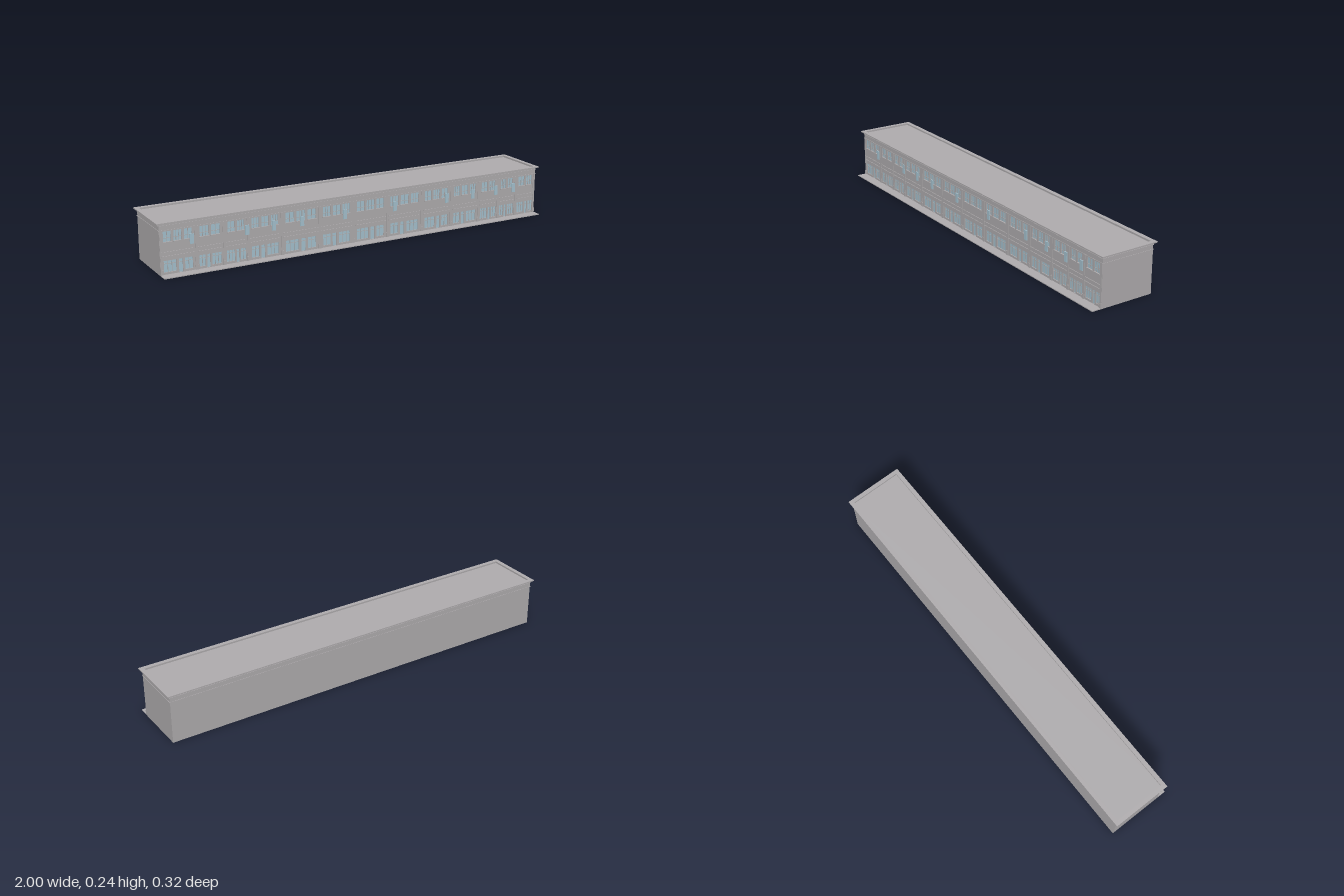
import * as THREE from 'three';

const stone = new THREE.MeshStandardMaterial({ color: 0xb0adaf });
stone.name = 'grey stone';
const glass = new THREE.MeshStandardMaterial({ color: 0xa6c3d0 });
glass.name = 'pale blue glass';

// Box given by its limits on each axis
function block(parent, name, x0, x1, y0, y1, z0, z1, mat = stone) {
  const m = new THREE.Mesh(new THREE.BoxGeometry(x1 - x0, y1 - y0, z1 - z0), mat);
  m.position.set((x0 + x1) / 2, (y0 + y1) / 2, (z0 + z1) / 2);
  m.name = name;
  parent.add(m);
  return m;
}

function rectangle(path, x0, x1, y0, y1) {
  path.moveTo(x0, y0);
  path.lineTo(x1, y0);
  path.lineTo(x1, y1);
  path.lineTo(x0, y1);
  path.closePath();
  return path;
}

const CORE = 0.110;   // front of the solid core
const WALL = 0.116;   // front of the facade skin

// Horizontal ring of stone around the roof
function parapetRing(parent, name, y0, y1, x, zBack, zFront, inX, inBack, inFront) {
  const s = rectangle(new THREE.Shape(), -x, x, -zFront, -zBack);
  s.holes.push(rectangle(new THREE.Path(), -inX, inX, -inFront, -inBack));
  const geo = new THREE.ExtrudeGeometry(s, { depth: y1 - y0, bevelEnabled: false });
  geo.rotateX(-Math.PI / 2);
  const m = new THREE.Mesh(geo, stone);
  m.position.y = y0;
  m.name = name;
  parent.add(m);
}

// One house front: skin with openings, panes, glazing bars and ledges
function houseFront(x0, x1, index) {
  const g = new THREE.Group();
  g.name = 'houseFront';
  const w = x1 - x0;
  const skin = rectangle(new THREE.Shape(), x0, x1, 0, 0.2);
  const opening = (name, a, b, y0, y1, bars, transom) => {
    skin.holes.push(rectangle(new THREE.Path(), a, b, y0, y1));
    block(g, name, a, b, y0, y1, CORE, CORE + 0.002, glass);
    for (let i = 1; i <= bars; i++) {
      const x = a + (b - a) * i / (bars + 1);
      block(g, 'glazingBar', x - 0.001, x + 0.001, y0, y1, CORE, CORE + 0.004);
    }
    block(g, 'transom', a, b, transom - 0.001, transom + 0.001, CORE, CORE + 0.004);
  };

  // Upper windows
  const count = w > 0.15 ? 3 : 2;
  const step = (w - 0.024) / count;
  for (let i = 0; i < count; i++) {
    const a = x0 + 0.012 + i * step + 0.006;
    const b = a + step - 0.012;
    opening('upperWindow', a, b, 0.150, 0.197, 1 + (i + index) % 2, 0.167);
    block(g, 'windowSill', a - 0.003, b + 0.003, 0.146, 0.150, WALL, 0.119);
  }

  // Shop windows with a door between, mirrored on alternate houses
  const at = (t) => index % 2 ? x1 - t * w : x0 + t * w;
  const parts = [[0.10, 0.44, 'shopWindow', 2], [0.51, 0.62, 'door', 0], [0.68, 0.90, 'shopWindow', 1]];
  for (const [t0, t1, name, bars] of parts) {
    const a = Math.min(at(t0), at(t1)), b = Math.max(at(t0), at(t1));
    opening(name, a, b, name === 'door' ? 0.005 : 0.014, 0.066, bars, 0.052);
  }

  const geo = new THREE.ExtrudeGeometry(skin, { depth: WALL - CORE, bevelEnabled: false });
  const wall = new THREE.Mesh(geo, stone);
  wall.position.z = CORE;
  wall.name = 'frontWall';
  g.add(wall);

  // Ledges of the shop sign band
  block(g, 'signLedge', x0 + 0.008, x1 - 0.008, 0.084, 0.087, WALL, 0.119);
  block(g, 'signLedge', x0 + 0.008, x1 - 0.008, 0.103, 0.106, WALL, 0.119);
  return g;
}

export function createModel() {
  const model = new THREE.Group();
  model.name = 'terraceBuilding';
  const X = 0.987, BACK = -0.149;

  // Main mass, pavement and flat roof
  block(model, 'body', -X, X, 0, 0.2, BACK, CORE);
  block(model, 'upperBody', -X, X, 0.2, 0.23, BACK, WALL);
  block(model, 'pavement', -X, X, 0, 0.004, CORE, 0.162);

  // House fronts of uneven width
  const edges = [-0.987, -0.82, -0.69, -0.575, -0.41, -0.22, -0.045, 0.135, 0.325, 0.49, 0.65, 0.765, 0.87, 0.987];
  for (let i = 0; i < edges.length - 1; i++) model.add(houseFront(edges[i], edges[i + 1], i));

  // Pilasters with plinths on the party lines
  for (const e of edges) {
    const x = THREE.MathUtils.clamp(e, -X + 0.006, X - 0.006);
    block(model, 'pilaster', x - 0.005, x + 0.005, 0.004, 0.2, WALL, 0.118);
    block(model, 'plinth', x - 0.006, x + 0.006, 0.004, 0.025, WALL, 0.120);
  }

  // Projecting glazed panels below the upper windows
  for (const x of [-0.84, -0.58, -0.45, -0.31, -0.09, 0.175, 0.465, 0.615, 0.75, 0.855])
    block(model, 'projectingPanel', x - 0.009, x + 0.009, 0.125, 0.170, WALL, 0.121, glass);

  // String courses and stepped cornice
  const courses = [[0.200, 0.203, 0.002], [0.221, 0.224, 0.002], [0.227, 0.230, 0.003]];
  for (const [y0, y1, out] of courses)
    block(model, 'stringCourse', -X - out, X + out, y0, y1, BACK - out, WALL + out);
  parapetRing(model, 'corniceStep', 0.230, 0.233, 0.994, -0.155, 0.122, 0.980, -0.141, 0.108);
  parapetRing(model, 'corniceTop', 0.233, 0.238, 1.0, -0.161, 0.128, 0.980, -0.141, 0.108);
  return model;
}
